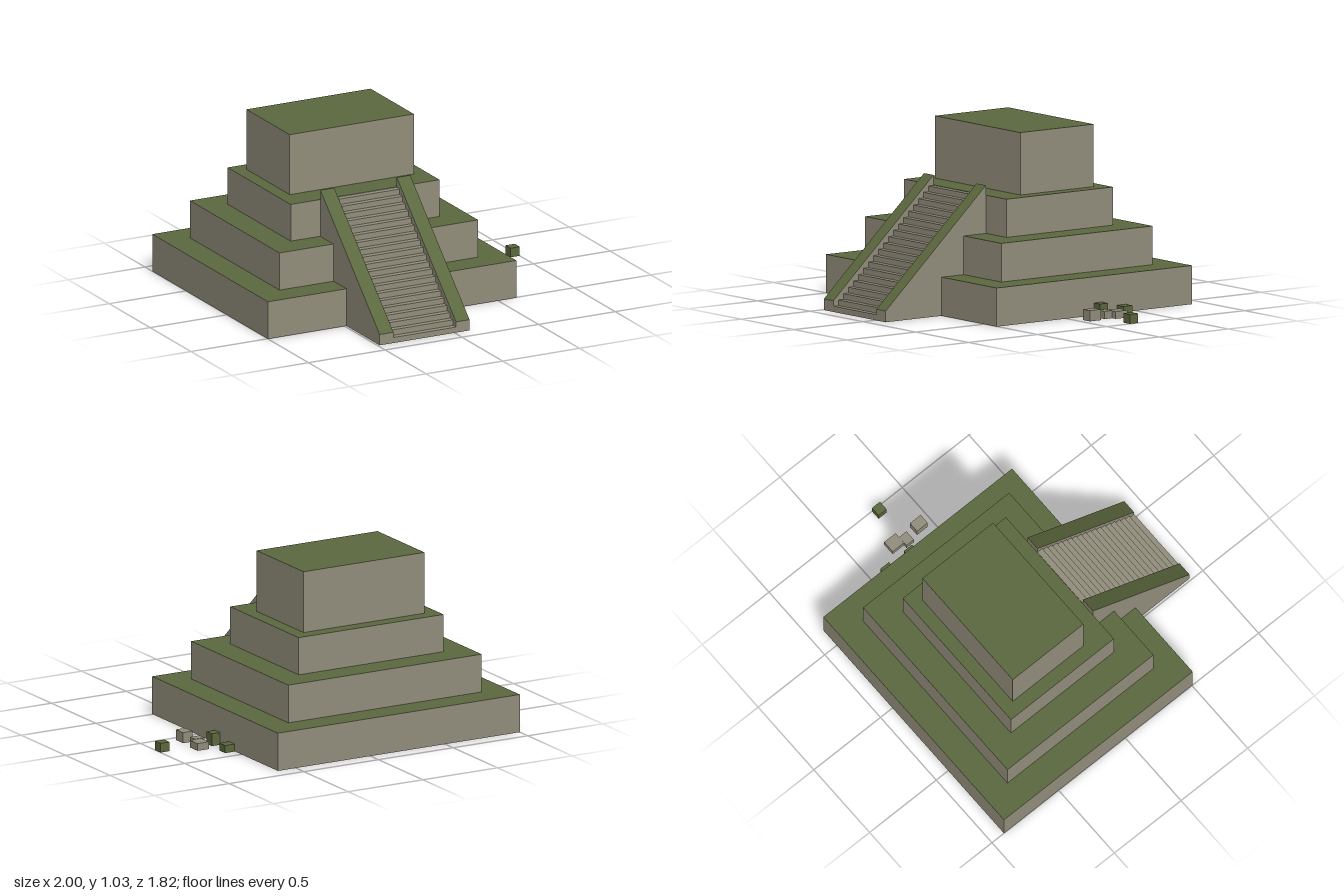
import * as THREE from 'three';

const stone = new THREE.MeshStandardMaterial({ name: 'stone', color: 0x938e7c, flatShading: true, side: THREE.DoubleSide });
const moss = new THREE.MeshStandardMaterial({ name: 'moss', color: 0x5b683e, flatShading: true, side: THREE.DoubleSide });

// Box given by its limits, open below, with its own top material
function block(name, [x0, x1], [y0, y1], [z0, z1], sideMat, topMat) {
  const geo = new THREE.BoxGeometry(x1 - x0, y1 - y0, z1 - z0);
  geo.translate((x0 + x1) / 2, (y0 + y1) / 2, (z0 + z1) / 2);
  const index = Array.from(geo.index.array);
  geo.setIndex([...index.slice(0, 18), ...index.slice(24)]);
  geo.clearGroups();
  geo.addGroup(0, 12, 0);
  geo.addGroup(12, 6, 1);
  geo.addGroup(18, 12, 0);
  const mesh = new THREE.Mesh(geo, [sideMat, topMat]);
  mesh.name = name;
  return mesh;
}

// Strip across x from x0 to x1 following a [z, y] path
function strip(name, x0, x1, path, mat) {
  const pos = [];
  for (let i = 0; i + 1 < path.length; i++) {
    const [za, ya] = path[i], [zb, yb] = path[i + 1];
    pos.push(x0, ya, za, x1, ya, za, x1, yb, zb, x0, ya, za, x1, yb, zb, x0, yb, zb);
  }
  const geo = new THREE.BufferGeometry();
  geo.setAttribute('position', new THREE.Float32BufferAttribute(pos, 3));
  geo.computeVertexNormals();
  const mesh = new THREE.Mesh(geo, mat);
  mesh.name = name;
  return mesh;
}

// Side wall in the plane of a given x, outlined by [z, y] points
function sideWall(name, x, path) {
  const geo = new THREE.ShapeGeometry(new THREE.Shape(path.map(([z, y]) => new THREE.Vector2(-z, y))));
  geo.rotateY(Math.PI / 2);
  geo.translate(x, 0, 0);
  const mesh = new THREE.Mesh(geo, stone);
  mesh.name = name;
  return mesh;
}

export function createModel() {
  const model = new THREE.Group();
  model.name = 'steppedPyramid';

  // Terraces and the temple on top
  model.add(
    block('lowerTerrace', [-1, 0.62], [0, 0.225], [-0.91, 0.505], stone, moss),
    block('middleTerrace', [-0.84, 0.455], [0.225, 0.45], [-0.75, 0.345], stone, moss),
    block('upperTerrace', [-0.68, 0.29], [0.45, 0.672], [-0.59, 0.183], stone, moss),
    block('temple', [-0.6, 0.21], [0.672, 1.035], [-0.51, 0.02], stone, moss),
  );

  // Raised floor inside the hollow base
  const floor = new THREE.Mesh(new THREE.PlaneGeometry(1.616, 1.411), stone);
  floor.name = 'baseFloor';
  floor.rotation.x = Math.PI / 2;
  floor.position.set(-0.19, 0.115, -0.2025);
  model.add(floor);

  // Stair flight
  const zFront = 0.91, zBack = 0.185, steps = 20, top = 0.67;
  const rise = top / steps, run = (zFront - zBack) / steps;
  const path = [[zFront, 0]];
  for (let i = 0; i < steps; i++) {
    path.push([zFront - i * run, (i + 1) * rise], [zFront - (i + 1) * run, (i + 1) * rise]);
  }
  const stairs = new THREE.Group();
  stairs.name = 'staircase';
  stairs.add(strip('steps', -0.398, 0.01, path, stone));
  stairs.add(strip('stairBack', 0.01, -0.398, [[zBack, 0], [zBack, top]], stone));

  // Sloping balustrades with mossy tops
  const profile = [[zFront, 0], [zFront, 0.065], [zBack, 0.73], [zBack, 0]];
  for (const [side, x0, x1] of [['right', -0.488, -0.398], ['left', 0.01, 0.098]]) {
    const rail = new THREE.Group();
    rail.name = side + 'Balustrade';
    rail.add(
      sideWall('balustradeSide', x1, profile),
      sideWall('balustradeSide', x0, profile),
      strip('balustradeFront', x0, x1, profile.slice(0, 2), stone),
      strip('balustradeTop', x0, x1, profile.slice(1, 3), moss),
      strip('balustradeBack', x0, x1, profile.slice(2), stone),
    );
    stairs.add(rail);
  }
  model.add(stairs);

  // Fallen blocks beside the base
  const rubble = [
    [[0.622, 0.686], 0.045, [-0.428, -0.364], moss],
    [[0.615, 0.675], 0.073, [-0.26, -0.2], moss],
    [[0.722, 0.798], 0.043, [-0.305, -0.22], stone],
    [[0.7, 0.766], 0.045, [-0.22, -0.165], stone],
    [[0.722, 0.786], 0.063, [-0.122, -0.042], stone],
    [[0.94, 1], 0.055, [-0.228, -0.168], moss],
  ];
  for (const [x, h, z, mat] of rubble) model.add(block('fallenBlock', x, [0, h], z, mat, mat));

  return model;
}
